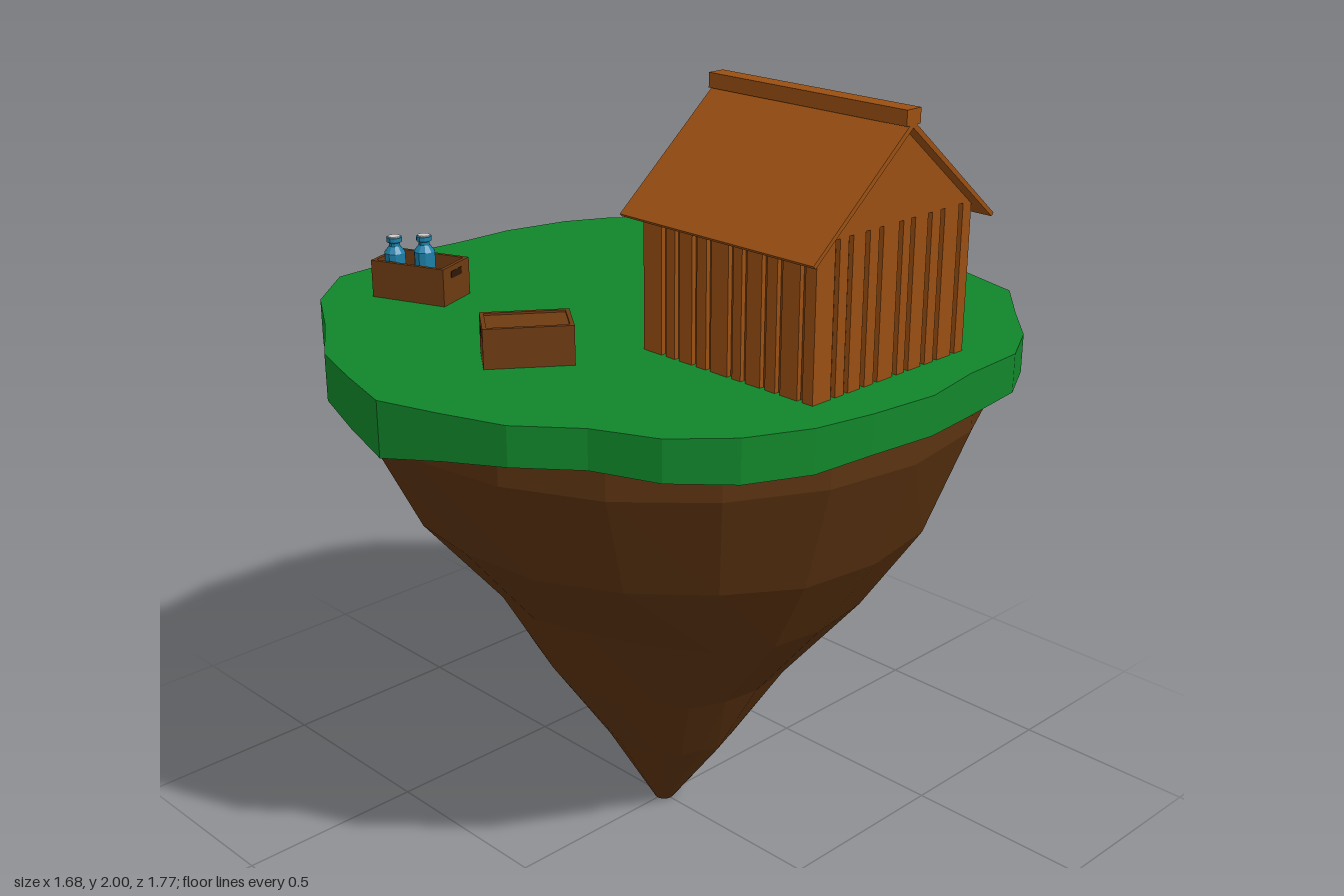
import * as THREE from 'three';

const mat = (color) => new THREE.MeshStandardMaterial({ color, flatShading: true });
const M = {
  grass: mat(0x11862a), rock: mat(0x5a3210), wood: mat(0x9a4f12), gap: mat(0x7a3e0e),
  crate: mat(0x6e3b12), dark: mat(0x2e1808), pale: mat(0xc6aa7c), panel: mat(0xa58b60),
  glass: mat(0x1b80a8), grey: mat(0xcccccc),
};

function add(parent, name, geometry, material, x = 0, y = 0, z = 0) {
  const mesh = new THREE.Mesh(geometry, material);
  mesh.name = name;
  mesh.position.set(x, y, z);
  parent.add(mesh);
  return mesh;
}
const box = (parent, name, material, w, h, d, x, y, z) =>
  add(parent, name, new THREE.BoxGeometry(w, h, d), material, x, y, z);

function group(parent, name, x = 0, y = 0, z = 0, turn = 0) {
  const g = new THREE.Group();
  g.name = name;
  g.position.set(x, y, z);
  g.rotation.y = turn;
  parent.add(g);
  return g;
}

// Closed solid through rings of [x, y, z] points, listed from top to bottom
function loft(rings) {
  const n = rings[0].length, pos = [];
  const tri = (...points) => points.forEach((p) => pos.push(...p));
  const middle = (ring) => [0, ring.reduce((s, p) => s + p[1], 0) / n, 0];
  const first = rings[0], last = rings[rings.length - 1];
  for (let i = 0; i < n; i++) {
    const j = (i + 1) % n;
    tri(middle(first), first[j], first[i]);
    tri(middle(last), last[i], last[j]);
    for (let r = 0; r + 1 < rings.length; r++) {
      const a = rings[r], b = rings[r + 1];
      tri(a[i], a[j], b[i]);
      tri(a[j], b[j], b[i]);
    }
  }
  const g = new THREE.BufferGeometry();
  g.setAttribute('position', new THREE.Float32BufferAttribute(pos, 3));
  g.computeVertexNormals();
  return g;
}

// Turf outline: x, z and the height of its lower edge
const TURF = [
  [0.01, -0.89, 1.27], [0.18, -0.87, 1.27], [0.33, -0.79, 1.28], [0.5, -0.74, 1.29], [0.62, -0.6, 1.29],
  [0.73, -0.48, 1.3], [0.8, -0.35, 1.3], [0.81, -0.17, 1.29], [0.84, 0, 1.3], [0.82, 0.18, 1.3],
  [0.79, 0.33, 1.29], [0.72, 0.48, 1.29], [0.61, 0.6, 1.295], [0.46, 0.67, 1.3], [0.33, 0.78, 1.3],
  [0.18, 0.835, 1.285], [0.02, 0.885, 1.26], [-0.15, 0.84, 1.27], [-0.31, 0.79, 1.28], [-0.48, 0.67, 1.31],
  [-0.66, 0.56, 1.28], [-0.79, 0.41, 1.27], [-0.8, 0.27, 1.29], [-0.84, 0.11, 1.31], [-0.83, -0.02, 1.31],
  [-0.83, -0.19, 1.3], [-0.79, -0.37, 1.3], [-0.73, -0.49, 1.29], [-0.62, -0.62, 1.29], [-0.51, -0.74, 1.28],
  [-0.2, -0.84, 1.27],
];

// Rock rings: height, then reach towards +x, -x, +z, -z
const ROCK = [
  [1.31, 0.8, 0.81, 0.78, 0.82], [1.22, 0.8, 0.81, 0.78, 0.82], [0.94, 0.7, 0.62, 0.65, 0.655],
  [0.7, 0.54, 0.51, 0.44, 0.52], [0.46, 0.335, 0.4, 0.3, 0.375], [0.23, 0.2, 0.16, 0.16, 0.165],
  [0, 0.025, 0.025, 0.025, 0.03],
];

function island(root) {
  const top = TURF.map(([x, z]) => [x, 1.395, z]);
  const bottom = TURF.map(([x, z, y]) => [x, y, z]);
  add(root, 'turf', loft([top, bottom]), M.grass);
  let seed = 7;
  const rand = () => (seed = (seed * 16807) % 2147483647) / 2147483647;
  const sides = 20;
  const rings = ROCK.map(([y, xp, xn, zp, zn], r) => Array.from({ length: sides }, (_, i) => {
    const t = (i / sides) * Math.PI * 2, s = Math.sin(t), c = -Math.cos(t);
    const rough = r > 1 && r < 6 ? rand() - 0.5 : 0;
    const k = 1 + (i % 5 ? 0.05 * rough : 0);
    return [s * (s > 0 ? xp : xn) * k, y + 0.04 * rough, c * (c > 0 ? zp : zn) * k];
  }));
  add(root, 'rock', loft(rings), M.rock);
}

function house(root) {
  const g = group(root, 'house', 0.44, 1.39, -0.02);
  const half = 0.26, wallTop = 0.36;
  // Recessed core with planks standing proud on all four sides
  box(g, 'wallCore', M.gap, 0.496, wallTop, 0.496, 0, wallTop / 2, 0);
  const widths = [0.058, 0.028, 0.04, 0.03, 0.052, 0.026, 0.044, 0.03, 0.05, 0.03];
  const gap = (2 * half - widths.reduce((a, b) => a + b)) / (widths.length - 1);
  for (let side = 0; side < 4; side++) {
    const wall = group(g, 'plankWall', 0, 0, 0, (side * Math.PI) / 2);
    let x = -half;
    for (const w of widths) {
      box(wall, 'plank', M.wood, w, wallTop, 0.016, x + w / 2, wallTop / 2, half - 0.008);
      x += w + gap;
    }
  }
  // Prisms drawn in the gable plane and stretched along x
  const prism = (name, points, length) => {
    const shape = new THREE.Shape(points.map(([z, y]) => new THREE.Vector2(-z, y)));
    const geo = new THREE.ExtrudeGeometry(shape, { depth: length, bevelEnabled: false });
    geo.translate(0, 0, -length / 2).rotateY(Math.PI / 2);
    return add(g, name, geo, M.wood);
  };
  prism('gable', [[-half, wallTop], [half, wallTop], [0, 0.572]], 2 * half);
  prism('roof', [[-0.305, 0.33], [0, 0.585], [0.305, 0.33], [0.298, 0.323], [0, 0.569], [-0.298, 0.323]], 0.58);
  box(g, 'ridgeBeam', M.wood, 0.58, 0.035, 0.046, 0, 0.5925, 0);
}

// Brown wooden crate, either lidded or open
function crate(root, x, z, turn, open) {
  const L = 0.208, W = 0.126, H = 0.1, T = 0.01;
  const g = group(root, open ? 'openCrate' : 'lidCrate', x, 1.39, z, turn);
  box(g, 'crateFloor', M.crate, L, T, W, 0, T / 2, 0);
  for (const s of [-1, 1]) {
    box(g, 'crateSide', M.crate, L, H, T, 0, H / 2, s * (W - T) / 2);
    box(g, 'crateEnd', M.crate, T, H, W - 2 * T, s * (L - T) / 2, H / 2, 0);
    box(g, 'handleSlot', M.dark, 0.002, 0.018, 0.05, s * L / 2, 0.077, 0);
  }
  if (!open) box(g, 'lid', M.crate, L - 2 * T, T, W - 2 * T, 0, H - T, 0);
  return g;
}

function bottle(parent, x, z) {
  const g = group(parent, 'bottle', x, 0.01, z);
  const profile = [[0, 0], [0.027, 0], [0.027, 0.105], [0.014, 0.122], [0.014, 0.13], [0.02, 0.133], [0.02, 0.144], [0, 0.144]];
  add(g, 'bottleGlass', new THREE.LatheGeometry(profile.map((p) => new THREE.Vector2(...p)), 10), M.glass);
  add(g, 'bottleCap', new THREE.CylinderGeometry(0.016, 0.016, 0.004, 10), M.grey, 0, 0.145, 0);
}

// Pale cube crate with edge bars and crossed braces
function paleCrate(root, x, y, z, turn) {
  const S = 0.115, B = 0.014, e = (S - B) / 2;
  const g = group(root, 'paleCrate', x, y + S / 2 - 0.003, z, turn);
  box(g, 'cratePanel', M.panel, S - 0.018, S - 0.006, S - 0.018, 0, 0, 0);
  box(g, 'crateTop', M.pale, S - B, 0.008, S - B, 0, S / 2 - 0.005, 0);
  for (let side = 0; side < 4; side++) {
    const face = group(g, 'crateFace', 0, 0, 0, (side * Math.PI) / 2);
    box(face, 'cornerPost', M.pale, B, S, B, e, 0, e);
    for (const s of [-1, 1]) {
      box(face, 'rail', M.pale, S - 2 * B, B, B, 0, s * e, e);
      const brace = box(face, 'brace', M.pale, (S - B) * 1.25, 0.011, 0.007, 0, 0, S / 2 - 0.007 - s * 0.0005);
      brace.rotation.z = (s * Math.PI) / 4;
    }
  }
}

export function createModel() {
  const root = new THREE.Group();
  root.name = 'floatingIsland';
  island(root);
  house(root);

  crate(root, 0.23, -0.6, -0.62, false);
  const labelled = crate(root, 0.04, 0.475, 0.945, false);
  box(labelled, 'label', M.grey, 0.07, 0.045, 0.002, -0.02, 0.052, -0.0635);
  const open = crate(root, -0.515, 0.353, 0.37, true);
  bottle(open, 0.002, -0.02);
  bottle(open, -0.06, 0.02);

  paleCrate(root, 0.11, 1.395, -0.03, 0);
  paleCrate(root, 0.113, 1.505, -0.033, -0.52);
  return root;
}
